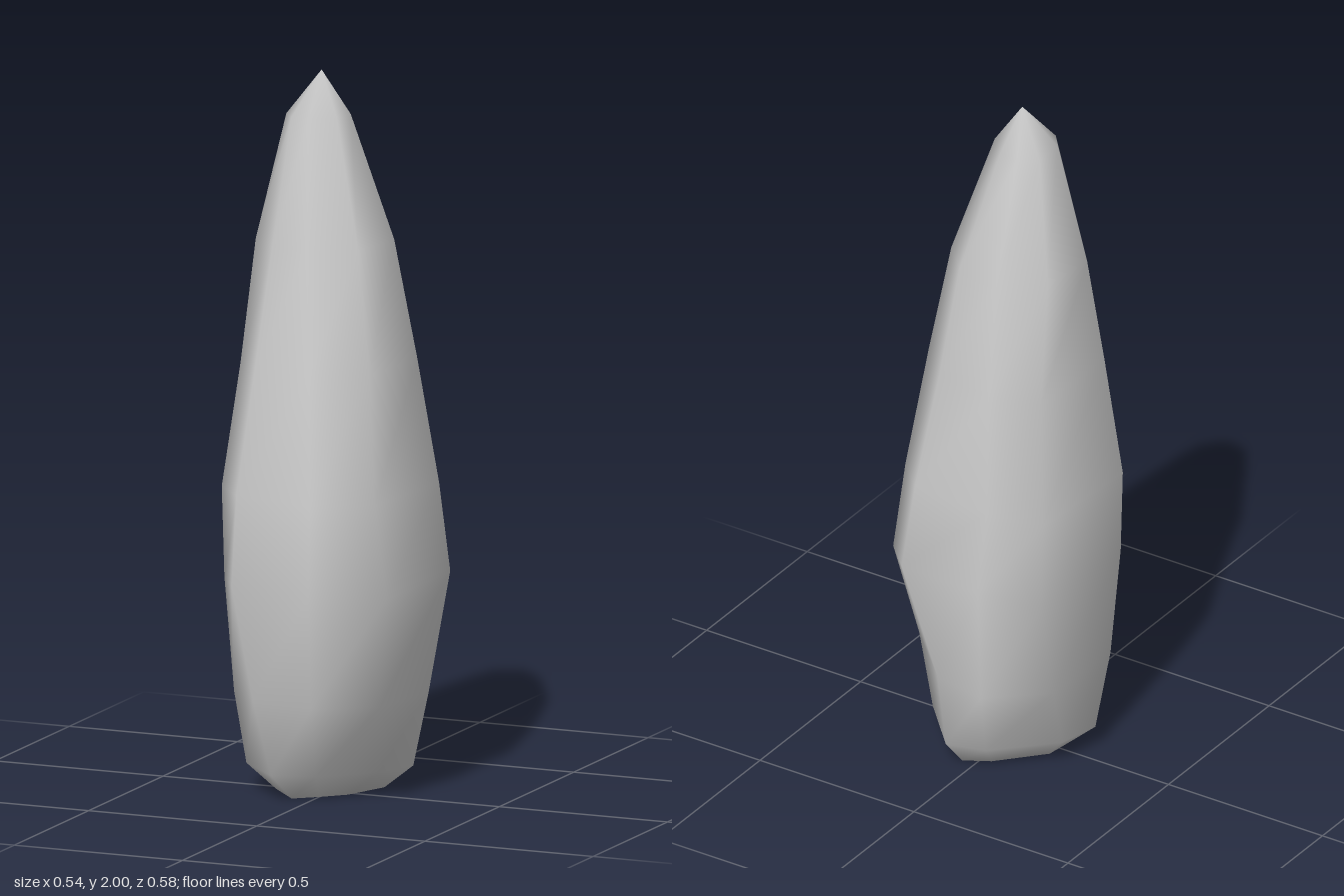
import * as THREE from 'three';

// Cross-sections from the ground up: height, then the x, z of eight ridges,
// running from the front left corner round by the front, right and back.
const RINGS = [
  [0.00, 0.06, 0.02, 0.00, 0.08, -0.06, 0.13, -0.15, 0.03, -0.14, -0.04, -0.03, -0.16, 0.04, -0.20, 0.11, -0.11],
  [0.07, 0.15, 0.02, 0.02, 0.15, -0.10, 0.18, -0.23, 0.05, -0.20, -0.07, -0.05, -0.22, 0.06, -0.25, 0.20, -0.10],
  [0.28, 0.21, 0.15, 0.05, 0.25, -0.14, 0.21, -0.24, 0.11, -0.23, -0.16, -0.08, -0.29, 0.08, -0.26, 0.25, -0.09],
  [0.60, 0.265, 0.225, 0.06, 0.29, -0.19, 0.24, -0.26, 0.13, -0.25, -0.25, -0.06, -0.275, 0.19, -0.27, 0.27, -0.19],
  [0.85, 0.22, 0.205, 0.06, 0.28, -0.18, 0.23, -0.27, 0.125, -0.245, -0.235, -0.08, -0.26, 0.16, -0.25, 0.25, -0.16],
  [1.20, 0.18, 0.15, 0.03, 0.215, -0.14, 0.195, -0.22, 0.11, -0.21, -0.19, -0.07, -0.235, 0.11, -0.205, 0.21, -0.105],
  [1.53, 0.12, 0.09, -0.01, 0.14, -0.115, 0.135, -0.20, 0.055, -0.18, -0.11, -0.06, -0.18, 0.07, -0.165, 0.15, -0.085],
  [1.88, 0.03, 0.03, -0.03, 0.085, -0.085, 0.075, -0.12, 0.03, -0.12, -0.06, -0.07, -0.095, -0.01, -0.085, 0.045, -0.03],
];
const TIP = [-0.035, 2, -0.015];
const SIDES = 8;

export function createModel() {
  const group = new THREE.Group();
  group.name = 'rockSpire';

  const positions = [];
  for (const [y, ...xz] of RINGS) {
    for (let i = 0; i < SIDES; i++) positions.push(xz[2 * i], y, xz[2 * i + 1]);
  }
  const tip = RINGS.length * SIDES;
  positions.push(...TIP);

  // Walls between the rings, closed by a pointed tip
  const indices = [];
  for (let r = 0; r < RINGS.length; r++) {
    for (let i = 0; i < SIDES; i++) {
      const a = r * SIDES + i;
      const b = r * SIDES + ((i + 1) % SIDES);
      if (r === RINGS.length - 1) indices.push(a, tip, b);
      else indices.push(a, a + SIDES, b, b, a + SIDES, b + SIDES);
    }
  }

  // Flat underside, blended smoothly into the walls
  for (let i = 1; i < SIDES - 1; i++) indices.push(0, i, i + 1);

  const geometry = new THREE.BufferGeometry();
  geometry.setAttribute('position', new THREE.Float32BufferAttribute(positions, 3));
  geometry.setIndex(indices);
  geometry.computeVertexNormals();

  const spire = new THREE.Mesh(geometry, new THREE.MeshStandardMaterial({ color: 0xcccccc }));
  spire.name = 'spireBody';
  group.add(spire);
  return group;
}
